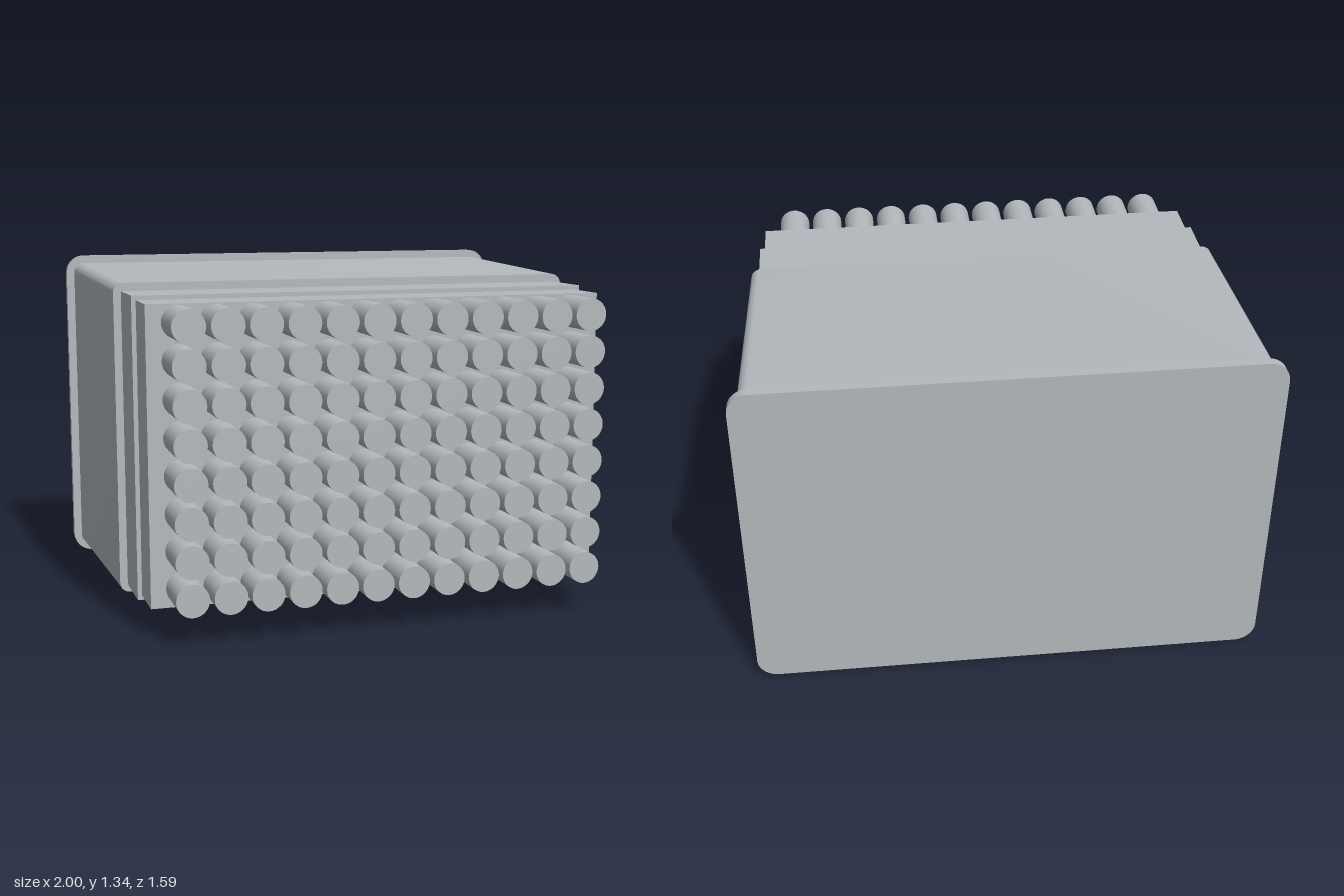
import * as THREE from 'three';
import { toCreasedNormals } from 'three/addons/utils/BufferGeometryUtils.js';

const CY = 0.67; // height of the long axis

// Rounded-rectangle block from z0 to z1, front face drawn in by `taper` on every side
function roundedBlock(hw, hh, r, z0, z1, taper = 0) {
  const s = new THREE.Shape();
  s.moveTo(-hw + r, -hh);
  s.absarc(hw - r, -hh + r, r, -Math.PI / 2, 0);
  s.absarc(hw - r, hh - r, r, 0, Math.PI / 2);
  s.absarc(-hw + r, hh - r, r, Math.PI / 2, Math.PI);
  s.absarc(-hw + r, -hh + r, r, Math.PI, Math.PI * 1.5);
  s.closePath();
  const g = new THREE.ExtrudeGeometry(s, { depth: z1 - z0, bevelEnabled: false, curveSegments: 8 });
  const p = g.attributes.position;
  for (let i = 0; i < p.count; i++) {
    if (p.getZ(i) < (z1 - z0) / 2) continue;
    p.setX(i, p.getX(i) - Math.sign(p.getX(i)) * taper);
    p.setY(i, p.getY(i) - Math.sign(p.getY(i)) * taper);
  }
  g.translate(0, CY, z0);
  return toCreasedNormals(g, Math.PI / 6);
}

function box(hw, hh, z0, z1) {
  return new THREE.BoxGeometry(hw * 2, hh * 2, z1 - z0).translate(0, CY, (z0 + z1) / 2);
}

export function createModel() {
  const group = new THREE.Group();
  const grey = new THREE.MeshStandardMaterial({ color: 0xb3b9bd });
  grey.name = 'light grey';

  const add = (name, geometry, parent = group) => {
    const mesh = new THREE.Mesh(geometry, grey);
    mesh.name = name;
    parent.add(mesh);
    return mesh;
  };

  // Back flange, tapered housing and two stepped collars
  add('backFlange', roundedBlock(1, CY, 0.08, -0.797, -0.76));
  add('taperedBody', roundedBlock(0.967, 0.637, 0.04, -0.76, 0.187, 0.025));
  add('rearCollar', box(0.912, 0.58, 0.187, 0.42));
  add('frontCollar', box(0.895, 0.563, 0.42, 0.608));

  // Grid of 12 x 8 round pins on the front
  const pins = new THREE.Group();
  pins.name = 'pins';
  group.add(pins);
  const pinGeometry = new THREE.CylinderGeometry(0.062, 0.062, 0.19, 32).rotateX(Math.PI / 2);
  const pitch = 0.141;
  for (let row = 0; row < 8; row++) {
    for (let col = 0; col < 12; col++) {
      add('pin', pinGeometry, pins)
        .position.set((col - 5.5) * pitch, CY + 0.003 + (row - 3.5) * pitch, 0.702);
    }
  }
  return group;
}
